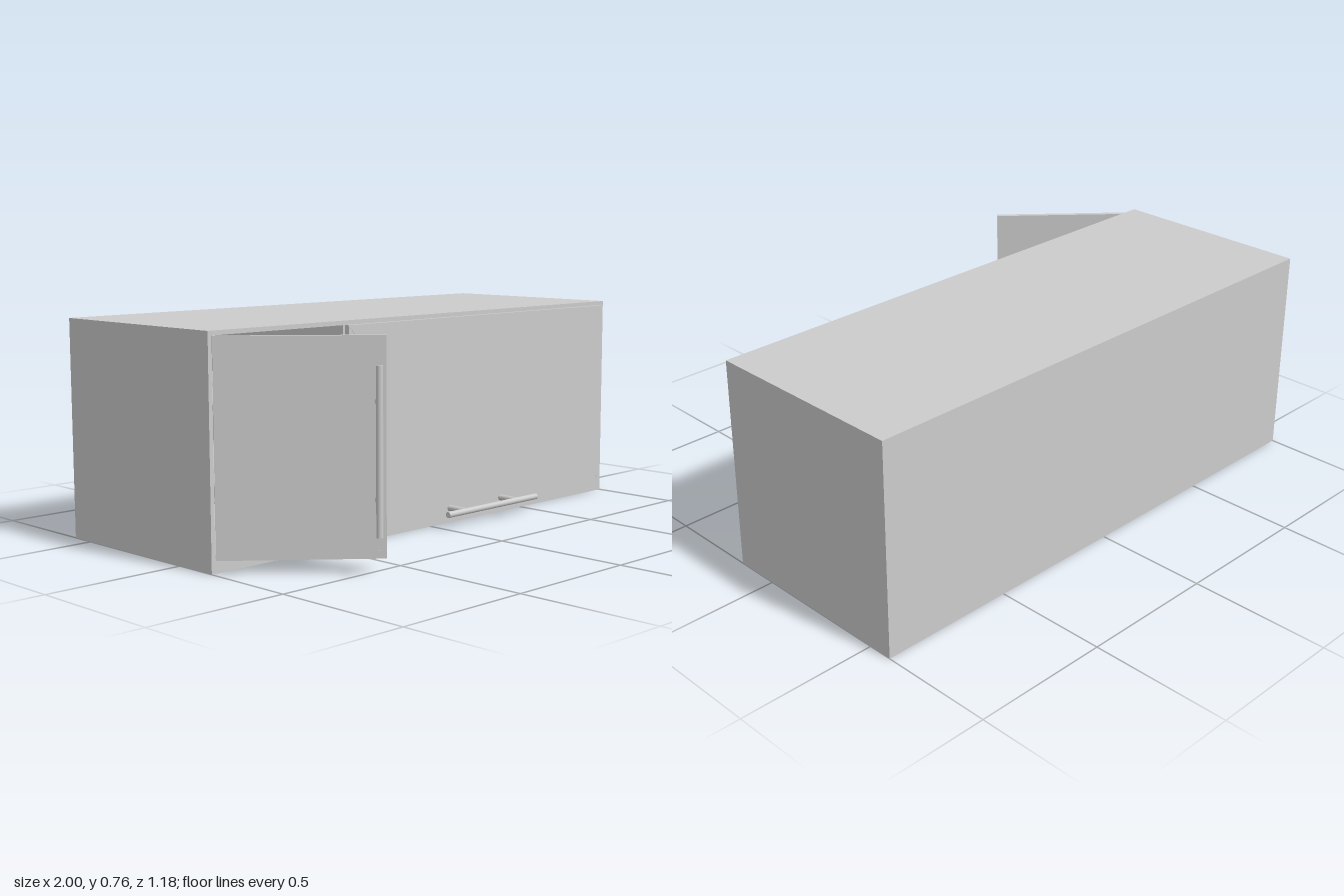
import * as THREE from 'three';

const grey = new THREE.MeshStandardMaterial({ color: 0xcccccc });

// Box given by its min and max corners
function box(name, [x0, y0, z0], [x1, y1, z1]) {
  const g = new THREE.BoxGeometry(x1 - x0, y1 - y0, z1 - z0);
  g.translate((x0 + x1) / 2, (y0 + y1) / 2, (z0 + z1) / 2);
  const m = new THREE.Mesh(g, grey);
  m.name = name;
  return m;
}

// Round rod between two points
function rod(name, a, b, r = 0.011) {
  const p = new THREE.Vector3(...a), q = new THREE.Vector3(...b);
  const m = new THREE.Mesh(new THREE.CylinderGeometry(r, r, p.distanceTo(q), 24), grey);
  m.position.copy(p).add(q).multiplyScalar(0.5);
  m.quaternion.setFromUnitVectors(new THREE.Vector3(0, 1, 0), q.sub(p).normalize());
  m.name = name;
  return m;
}

const Y0 = 0.045, Y1 = 0.75, T = 0.018, REACH = 0.1;

// Door panel starting at local x = 0, with small corner pads
function door(name, width) {
  const g = new THREE.Group();
  g.name = name;
  g.add(box('doorPanel', [0, Y0, 0], [width, Y1, T]));
  for (const sx of [-1, 1]) for (const sy of [-1, 1]) {
    const pad = new THREE.Mesh(new THREE.BoxGeometry(0.024, 0.005, 0.002), grey);
    pad.position.set(sx < 0 ? 0.018 : width - 0.018, sy < 0 ? Y0 + 0.018 : Y1 - 0.018, T);
    pad.rotation.z = sx * sy * Math.PI / 4;
    pad.name = 'cornerPad';
    g.add(pad);
  }
  return g;
}

export function createModel() {
  const model = new THREE.Group();
  model.name = 'cabinet';
  const H = 0.765, ZB = -0.59, ZF = 0.163, W = 0.015;

  // Carcass
  const body = new THREE.Group();
  body.name = 'carcass';
  body.add(
    box('floor', [-1, 0, ZB], [1, Y0, ZF]),
    box('topPanel', [-1, H - W, ZB], [1, H, ZF]),
    box('rightSide', [-1, Y0, ZB], [-1 + W, H - W, ZF]),
    box('leftSide', [1 - W, Y0, ZB], [1, H - W, ZF]),
    box('backPanel', [-1 + W, Y0, ZB], [1 - W, H - W, ZB + W]),
    box('divider', [-0.43, Y0, ZB + W], [-0.415, H - W, ZF])
  );
  for (const y of [0.281, 0.538])
    body.add(box('shelf', [-1 + W, y - 0.005, ZB + W], [-0.43, y + 0.005, 0.15]));
  model.add(body);

  // Open door, hinged at the right side of the cabinet
  const open = door('openDoor', 0.535);
  open.add(rod('handleBar', [0.509, 0.13, REACH], [0.509, 0.665, REACH]));
  for (const y of [0.235, 0.545])
    open.add(rod('handlePost', [0.509, y, T], [0.509, y, REACH]));
  for (const y of [0.14, 0.64])
    open.add(rod('hinge', [0.022, y - 0.008, 0], [0.022, y + 0.008, 0], 0.004));
  open.position.set(-0.982, 0, ZF);
  open.rotation.y = -0.73;
  model.add(open);

  // Wide closed door with a horizontal handle near its lower edge
  const wide = door('wideDoor', 1.395);
  wide.position.set(-0.42, 0, ZF);
  wide.add(rod('handleBar', [0.403, 0.059, REACH], [0.89, 0.059, REACH]));
  for (const x of [0.5, 0.78])
    wide.add(rod('handlePost', [x, 0.059, T], [x, 0.059, REACH]));
  model.add(wide);

  return model;
}
